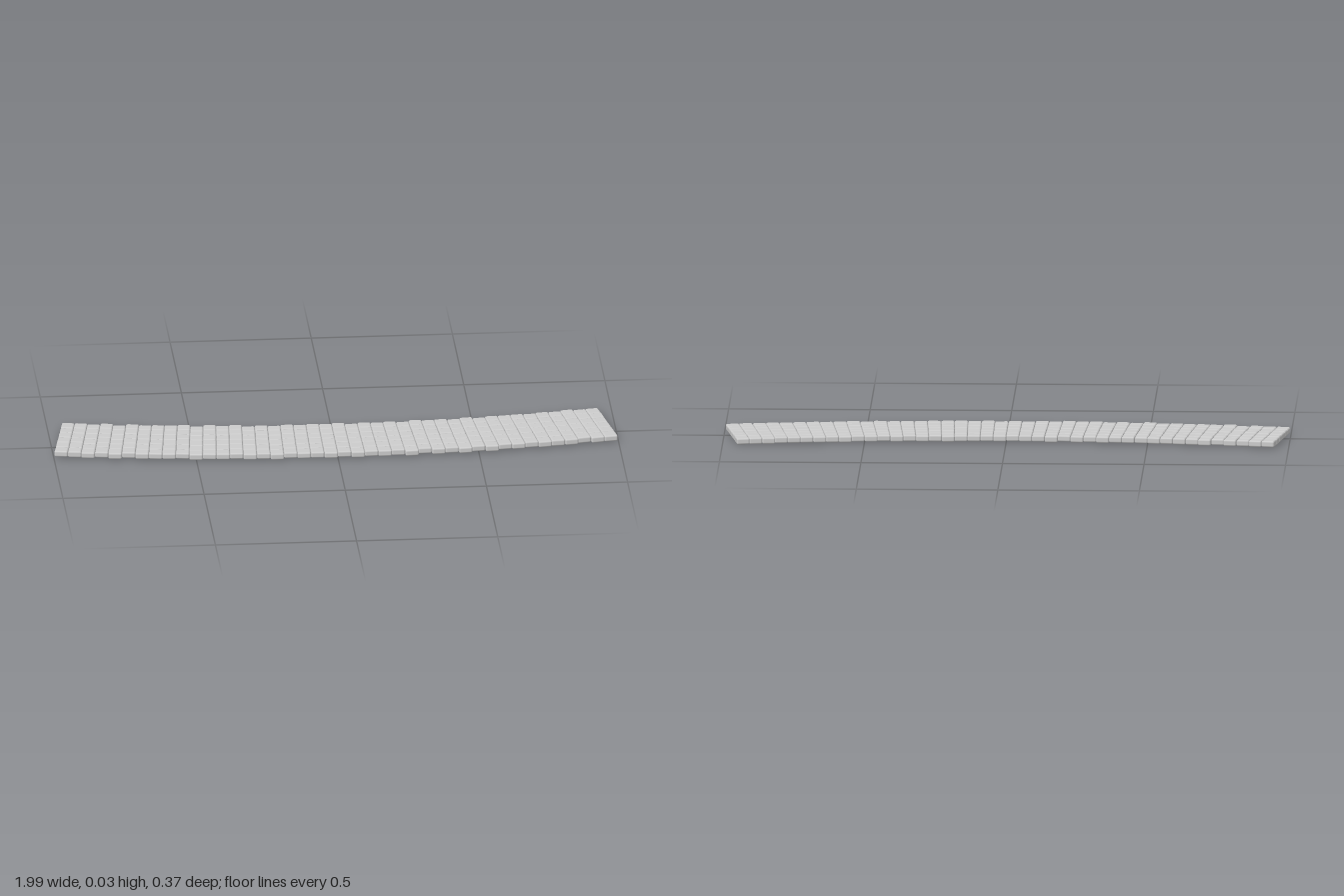
import * as THREE from 'three';
import { RoundedBoxGeometry } from 'three/addons/geometries/RoundedBoxGeometry.js';

// Small seeded generator, returns -1..1
function makeJitter(seed) {
  return () => {
    seed = (seed * 16807) % 2147483647;
    return (seed / 2147483647) * 2 - 1;
  };
}

export function createModel() {
  const group = new THREE.Group();
  group.name = 'curvedStonePath';
  const material = new THREE.MeshStandardMaterial({ color: 0xcccccc });
  const jitter = makeJitter(4217);

  const columns = 42, rows = 6;
  const radius = 5.6, halfAngle = 0.1747; // gentle arc bulging towards the front
  const centreZ = 0.044 - radius;         // centre of the arc
  const pitch = 0.0472, height = 0.0225;
  const stoneGeometry = new RoundedBoxGeometry(pitch, height, pitch, 2, 0.006);
  const step = (2 * halfAngle) / columns;

  for (let c = 0; c < columns; c++) {
    const column = new THREE.Group();
    column.name = `stoneColumn${c + 1}`;
    column.position.z = centreZ;
    column.rotation.y = -halfAngle + (c + 0.5) * step;

    // Neighbouring columns are staggered, the end columns stay in line
    const isEnd = c === 0 || c === columns - 1;
    const stagger = isEnd ? 0 : (c % 2 ? -1 : 1) * 0.004 + jitter() * 0.004;

    // Uneven joints between the stones of one column
    const edges = [];
    for (let r = 0; r <= rows; r++) {
      const wobble = r === 0 || r === rows ? 0.001 : 0.004;
      edges.push(radius + (r - rows / 2) * pitch + stagger + jitter() * wobble);
    }

    for (let r = 0; r < rows; r++) {
      const middle = (edges[r] + edges[r + 1]) / 2;
      const stone = new THREE.Mesh(stoneGeometry, material);
      stone.name = 'pavingStone';
      stone.position.set(0, 0.0132 + jitter() * 0.0008, middle);
      stone.scale.set((middle * step) / pitch, 1 + jitter() * 0.03, (edges[r + 1] - edges[r]) / pitch);
      stone.rotation.set(jitter() * 0.015, jitter() * 0.02, jitter() * 0.015);
      column.add(stone);
    }
    group.add(column);
  }
  return group;
}
